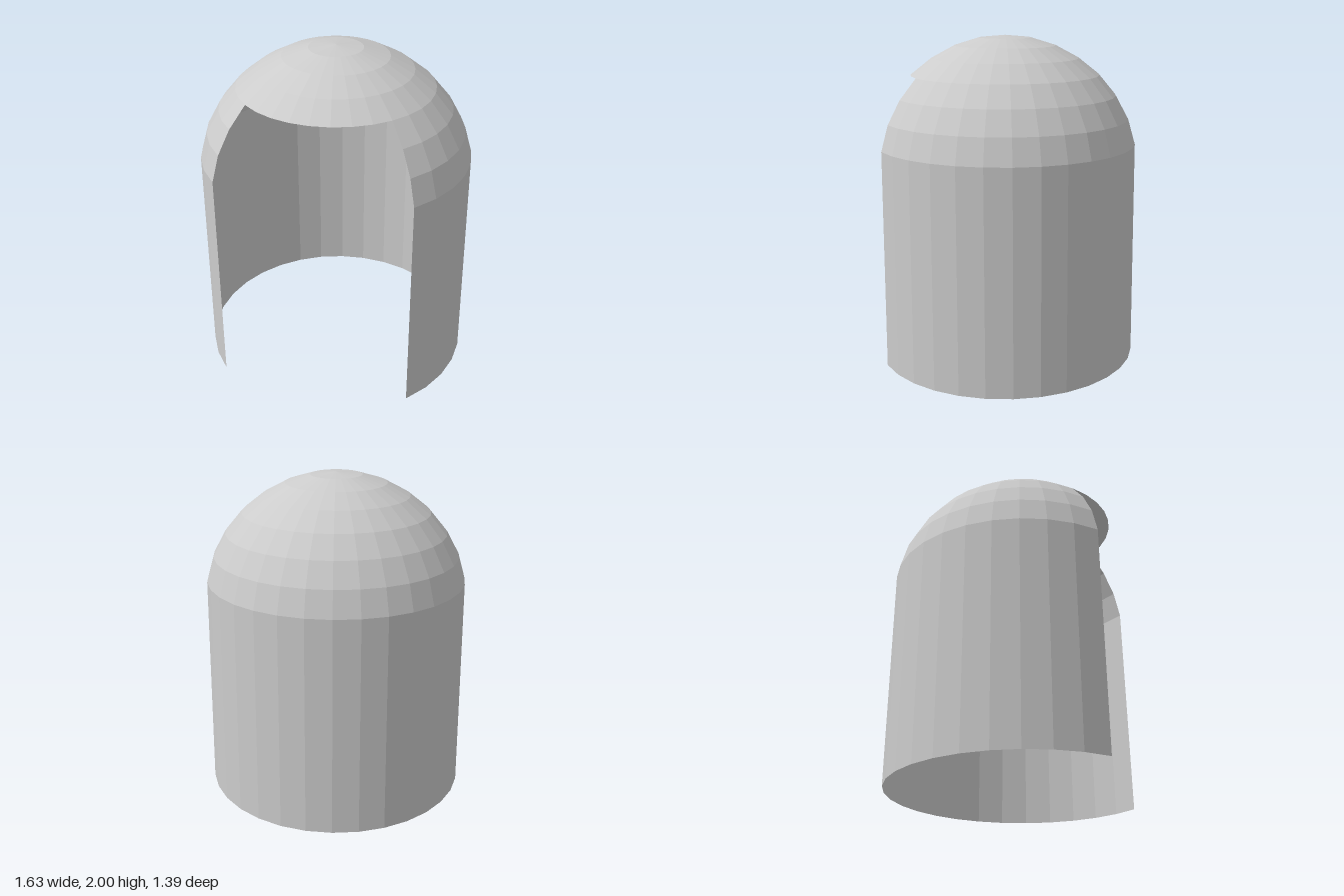
import * as THREE from 'three';

const CENTER_Z = 0.12;

export function createModel() {
  const model = new THREE.Group();
  model.name = 'domedShelter';
  const material = new THREE.MeshStandardMaterial({
    color: 0xcccccc, flatShading: true, side: THREE.DoubleSide,
  });

  // Turned shell between two profile ends, 32 sides to a full turn
  const addShell = (name, profile, start, turn) => {
    const points = profile.map(([r, y]) => new THREE.Vector2(r, y));
    const segments = Math.round(32 * turn);
    const geometry = new THREE.LatheGeometry(points, segments, start, turn * Math.PI * 2);
    const mesh = new THREE.Mesh(geometry, material);
    mesh.name = name;
    mesh.position.z = CENTER_Z;
    model.add(mesh);
  };

  // Slightly tapered wall, open over the front quarter
  addShell('wall', [[0.816, 0], [0.802, 1.345]], Math.PI / 4, 0.75);

  // Lower dome bands, open above the doorway
  addShell('lowerDome', [[0.802, 1.345], [0.757, 1.5], [0.68, 1.64], [0.577, 1.763]], Math.PI / 4, 0.75);

  // Closed crown that overhangs the doorway
  addShell('crown', [[0.577, 1.763], [0.45, 1.863], [0.31, 1.938], [0.158, 1.985], [0, 2]], 0, 1);

  return model;
}
